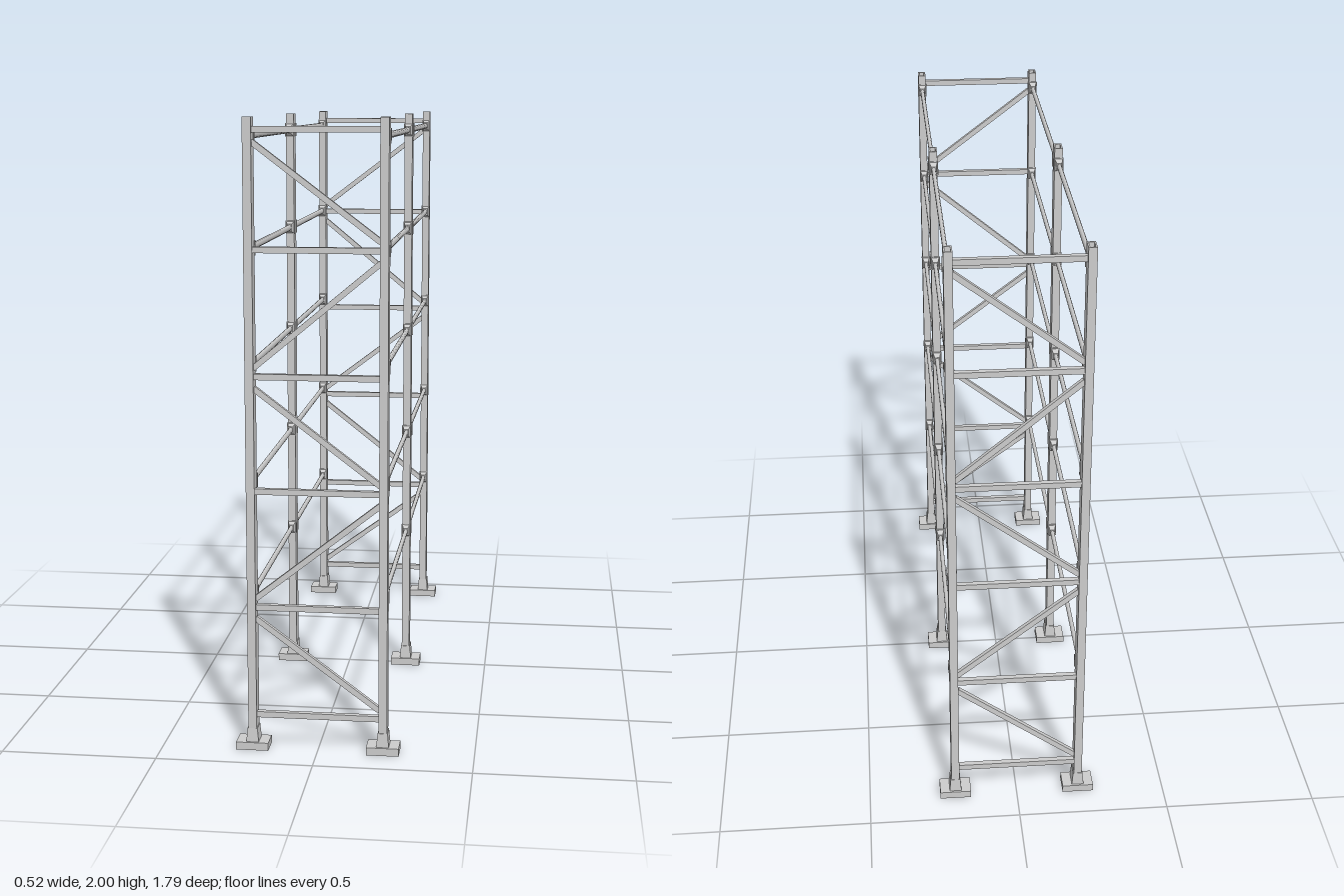
import * as THREE from 'three';

const POST_X = 0.209, FRAME_Z = 0.861, TOP = 2;
const BEAM_Y = [0.509, 0.874, 1.242, 1.603, 1.944];
const BRACE_Y = [0.114, 0.469, 0.845, 1.208, 1.6, 1.963];
const material = new THREE.MeshStandardMaterial({ color: 0xcccccc, roughness: 0.7 });

function add(parent, name, geometry, x = 0, y = 0, z = 0) {
  const mesh = new THREE.Mesh(geometry, material);
  mesh.name = name;
  mesh.position.set(x, y, z);
  parent.add(mesh);
  return mesh;
}

function rectangle(path, w, d) {
  path.moveTo(-w / 2, -d / 2);
  path.lineTo(w / 2, -d / 2);
  path.lineTo(w / 2, d / 2);
  path.lineTo(-w / 2, d / 2);
  path.closePath();
  return path;
}

// Upright rectangular tube of width w (x), depth d (z), standing on y = 0
function tube(w, d, height, holeW, holeD) {
  const shape = rectangle(new THREE.Shape(), w, d);
  shape.holes.push(rectangle(new THREE.Path(), holeW, holeD));
  return new THREE.ExtrudeGeometry(shape, { depth: height, bevelEnabled: false }).rotateX(-Math.PI / 2);
}

// Tube whose outside narrows towards its upper end
function taperedTube(w, d, height, holeW, holeD, topW, topD) {
  const geometry = tube(w, d, height, holeW, holeD);
  const p = geometry.attributes.position;
  for (let i = 0; i < p.count; i++) {
    const outside = Math.abs(p.getX(i)) > holeW / 2 + 1e-4 || Math.abs(p.getZ(i)) > holeD / 2 + 1e-4;
    if (p.getY(i) > height / 2 && outside) {
      p.setX(i, p.getX(i) * topW / w);
      p.setZ(i, p.getZ(i) * topD / d);
    }
  }
  geometry.computeVertexNormals();
  return geometry;
}

// Box along z that narrows towards +z
function taperedBox(w, h, length, endW, endH) {
  const geometry = new THREE.BoxGeometry(w, h, length).toNonIndexed();
  const p = geometry.attributes.position;
  for (let i = 0; i < p.count; i++) {
    if (p.getZ(i) > 0) p.setXYZ(i, p.getX(i) * endW / w, p.getY(i) * endH / h, p.getZ(i));
  }
  geometry.computeVertexNormals();
  return geometry;
}

export function createModel() {
  const rack = new THREE.Group();
  rack.name = 'storageRack';

  // Hollow posts on foot plates
  const postGeo = tube(0.027, 0.048, TOP, 0.017, 0.036);
  const plateGeo = tube(0.104, 0.072, 0.025, 0.027, 0.046);
  const collarGeo = taperedTube(0.04, 0.058, 0.045, 0.026, 0.046, 0.032, 0.051);
  for (const x of [-POST_X, POST_X]) {
    for (const z of [-FRAME_Z, 0, FRAME_Z]) {
      const upright = new THREE.Group();
      upright.name = 'upright';
      upright.position.set(x, 0, z);
      rack.add(upright);
      add(upright, 'post', postGeo);
      add(upright, 'footPlate', plateGeo);
      add(upright, 'footCollar', collarGeo, 0, 0.025, 0);
    }
  }

  // Long beams with tapered end connectors, two bays on each side
  const beamLength = FRAME_Z - 0.048;
  const beamGeo = new THREE.CylinderGeometry(0.011, 0.011, beamLength, 12, 1).rotateX(Math.PI / 2).scale(0.68, 1, 1);
  const sleeveGeo = new THREE.BoxGeometry(0.032, 0.046, 0.008);
  const connectorGeo = taperedBox(0.028, 0.044, 0.026, 0.017, 0.026);
  for (const x of [-POST_X, POST_X]) {
    for (const y of BEAM_Y) {
      for (const bay of [-1, 1]) {
        const beam = new THREE.Group();
        beam.name = 'longBeam';
        beam.position.set(x, y, bay * FRAME_Z / 2);
        rack.add(beam);
        add(beam, 'rail', beamGeo);
        for (const end of [-1, 1]) {
          const postFace = end * (FRAME_Z / 2 - 0.024);
          add(beam, 'connectorSleeve', sleeveGeo, 0, 0, postFace);
          const connector = add(beam, 'connector', connectorGeo, 0, 0, postFace - end * 0.013);
          connector.rotation.y = end > 0 ? Math.PI : 0;
        }
      }
    }
  }

  // End frames: level braces and zigzag diagonals, the rear turned half round
  for (const turn of [0, Math.PI]) {
    const frame = new THREE.Group();
    frame.name = turn ? 'rearFrame' : 'frontFrame';
    frame.rotation.y = turn;
    rack.add(frame);
    const inner = 0.198;
    const braceGeo = new THREE.BoxGeometry(inner * 2, 0.019, 0.018);
    for (const y of BRACE_Y) add(frame, 'levelBrace', braceGeo, 0, y, 0.869);

    for (let i = 0; i < BRACE_Y.length - 1; i++) {
      const low = BRACE_Y[i] + 0.026, high = BRACE_Y[i + 1] - 0.037;
      const rise = high - low;
      const diagonal = add(frame, 'diagonalBrace',
        new THREE.BoxGeometry(Math.hypot(inner * 2, rise), 0.018, 0.016), 0, (low + high) / 2, 0.866);
      diagonal.rotation.z = (i % 2 ? 1 : -1) * Math.atan2(rise, inner * 2);
    }
  }
  return rack;
}
